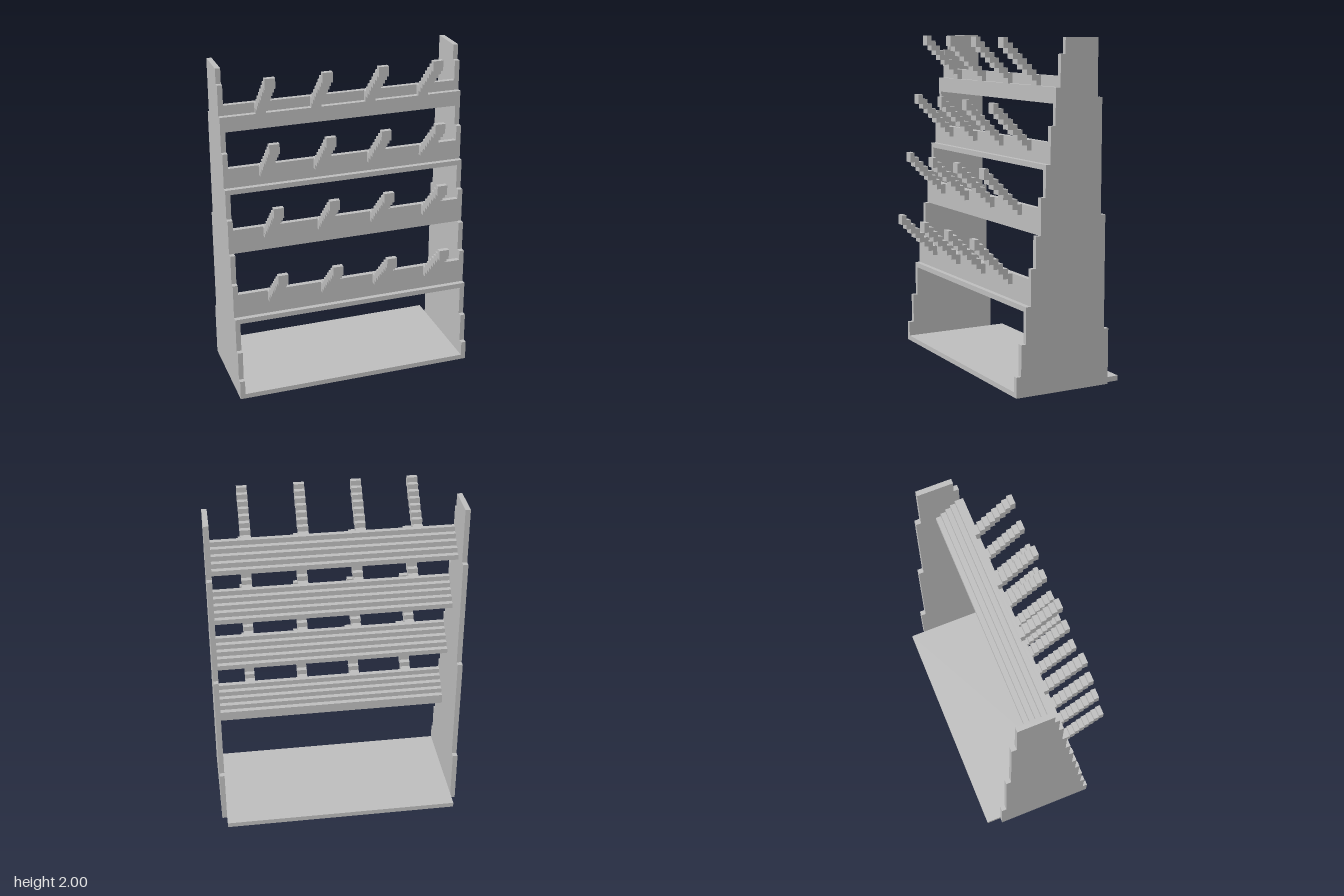
import * as THREE from 'three';

const U = 2 / 66; // one grid step
const INNER = 47; // width between the side panels, in steps

// Stepped outline from consecutive strips [start, end, low, high]
function outline(strips) {
  const high = [], low = [];
  for (const [a, b, lo, hi] of strips) {
    high.push([a, hi], [b, hi]);
    low.unshift([b, lo], [a, lo]);
  }
  return [...low, ...high];
}

// Prism running along x, centred on x, from (z, y) points in grid steps
function prism(name, points, width, x, material) {
  // Drop repeated points
  const clean = points.filter((p, i) => {
    const q = points[(i + 1) % points.length];
    return p[0] !== q[0] || p[1] !== q[1];
  });
  const shape = new THREE.Shape(clean.map(([z, y]) => new THREE.Vector2(z * U, y * U)));
  const geometry = new THREE.ExtrudeGeometry(shape, { depth: width * U, bevelEnabled: false });
  geometry.translate(0, 0, -width * U / 2);
  geometry.rotateY(-Math.PI / 2);
  const mesh = new THREE.Mesh(geometry, material);
  mesh.name = name;
  mesh.position.x = x * U;
  return mesh;
}

// Strips stacked upwards, so the axes of the outline are swapped
const stacked = (strips) => outline(strips).map(([y, z]) => [z, y]);

// Heights where the front and back edges of the side panels step inwards
const frontSteps = [4, 10, 17, 24, 30, 37, 43, 50, 57, 63];
const backSteps = [11, 33, 55];
const frontAt = (y) => 9 - frontSteps.filter((s) => s <= y).length;
const backAt = (y) => -11 + backSteps.filter((s) => s <= y).length;

// Strips between two heights, split only where an edge steps
function rows(from, to, back, front) {
  const cuts = [from, ...frontSteps, ...backSteps, to]
    .filter((y) => y >= from && y <= to)
    .sort((a, b) => a - b);
  const list = [];
  for (let i = 0; i < cuts.length - 1; i++) {
    if (cuts[i] < cuts[i + 1]) list.push([cuts[i], cuts[i + 1], back(cuts[i]), front(cuts[i])]);
  }
  return list;
}

export function createModel() {
  const model = new THREE.Group();
  model.name = 'displayRack';
  const grey = new THREE.MeshStandardMaterial({ color: 0xc0c0c0 });
  grey.name = 'grey';

  // Tapered side panels
  const panel = stacked(rows(0, 66, backAt, frontAt));
  model.add(prism('leftPanel', panel, 1, 24, grey));
  model.add(prism('rightPanel', panel, 1, -24, grey));

  // Base board
  model.add(prism('base', [[-14, 0], [9, 0], [9, 1], [-14, 1]], INNER, 0, grey));

  // Shelves: bottom, top and front position of the ridge
  const shelves = [[16, 22, 6], [30, 35, 4], [42, 47, 2], [54, 59, 0]];
  shelves.forEach(([bottom, top, z], i) => {
    const shelf = new THREE.Group();
    shelf.name = `shelf${i + 1}`;

    // Front rail, flush with the panel edges
    const rail = stacked(rows(bottom, top, (y) => Math.min(frontAt(y), z + 1) - 1 - (frontAt(y) > z ? 1 : 0), frontAt));
    shelf.add(prism('frontRail', rail, INNER, 0, grey));

    // Deck stepping down towards the back
    const deck = [];
    for (let k = 4; k >= 1; k--) {
      deck.push([z - k - 1, z - k, Math.max(bottom, top - k - 2), top - k]);
    }
    shelf.add(prism('deck', outline(deck), INNER, 0, grey));

    // Pegs stepping up towards the front
    const peg = [];
    for (let k = 0; k < 8; k++) peg.push([z + k, z + k + 1, top - 2 + k, top + k]);
    for (const x of [-16.5, -5.5, 5.5, 16.5]) {
      shelf.add(prism('peg', outline(peg), 2, x, grey));
    }
    model.add(shelf);
  });
  return model;
}
